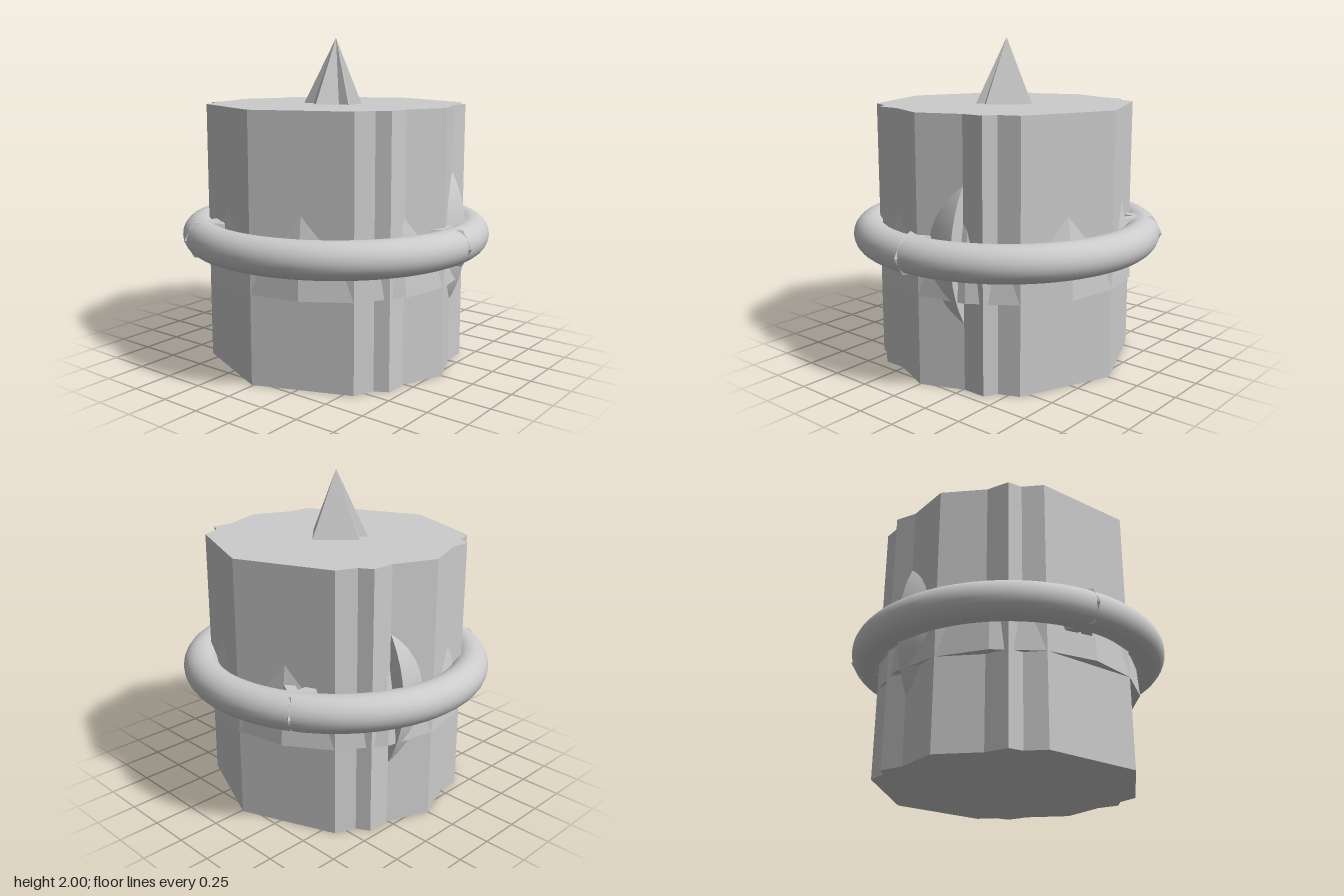
import * as THREE from 'three';

export function createModel() {
  const group = new THREE.Group();
  const smooth = new THREE.MeshStandardMaterial({ color: 0xcccccc });
  const flat = new THREE.MeshStandardMaterial({ color: 0xcccccc, flatShading: true });
  const add = (name, geometry, material, x = 0, y = 0, z = 0) => {
    const mesh = new THREE.Mesh(geometry, material);
    mesh.name = name;
    mesh.position.set(x, y, z);
    group.add(mesh);
    return mesh;
  };

  // Body: outline of an octagon merged with a hexagon, mirrored from one quadrant
  const quad = [[0.8, 0], [0.693, 0.258], [0.693, 0.4], [0.616, 0.444], [0.566, 0.566], [0, 0.8]];
  const half = [...quad, ...quad.slice(0, -1).reverse().map(([x, y]) => [-x, y])];
  const outline = [...half, ...half.slice(1, -1).reverse().map(([x, y]) => [x, -y])];
  const shape = new THREE.Shape(outline.map(([x, y]) => new THREE.Vector2(x, y)));
  const bodyGeometry = new THREE.ExtrudeGeometry(shape, { depth: 1.6, bevelEnabled: false });
  bodyGeometry.rotateX(-Math.PI / 2);
  add('body', bodyGeometry, flat);

  // Spike: a four-sided and a three-sided pyramid sharing one tip
  add('spikeSquare', new THREE.ConeGeometry(0.2, 0.4, 4), flat, 0, 1.8, 0);
  add('spikeTriangle', new THREE.ConeGeometry(0.2, 0.4, 3), flat, 0, 1.8, 0).rotation.y = Math.PI;

  // Ring: a smooth hoop and a triangular one whose corners poke through it
  add('ring', new THREE.TorusGeometry(0.855, 0.11, 24, 96), smooth, 0, 0.8, 0).rotation.x = Math.PI / 2;
  add('triangularRing', new THREE.TorusGeometry(0.86, 0.122, 6, 3), flat, 0, 0.8, 0).rotation.x = Math.PI / 2;

  // Faceted dome, barely showing through the flat sides of the body
  const profile = [[0, 0.544], [0.8, 0.544], [0.785, 0.75], [0.737, 1.03], [0.5, 1.25], [0, 1.34]];
  const dome = new THREE.LatheGeometry(profile.map(([r, y]) => new THREE.Vector2(r, y)), 16);
  add('facetedDome', dome, flat);

  // Smooth dome facing forward, its rim showing at both sides
  const hemisphere = new THREE.SphereGeometry(0.8, 64, 24, 0, Math.PI * 2, 0, Math.PI / 2);
  hemisphere.rotateX(Math.PI / 2);
  add('sideDome', hemisphere, smooth, 0, 0.8, -0.258);
  add('sideDomeBase', new THREE.CircleGeometry(0.8, 64), flat, 0, 0.8, -0.258).rotation.y = Math.PI;

  group.position.x = -0.01;
  const root = new THREE.Group();
  root.name = 'model';
  group.name = 'assembly';
  root.add(group);
  return root;
}
